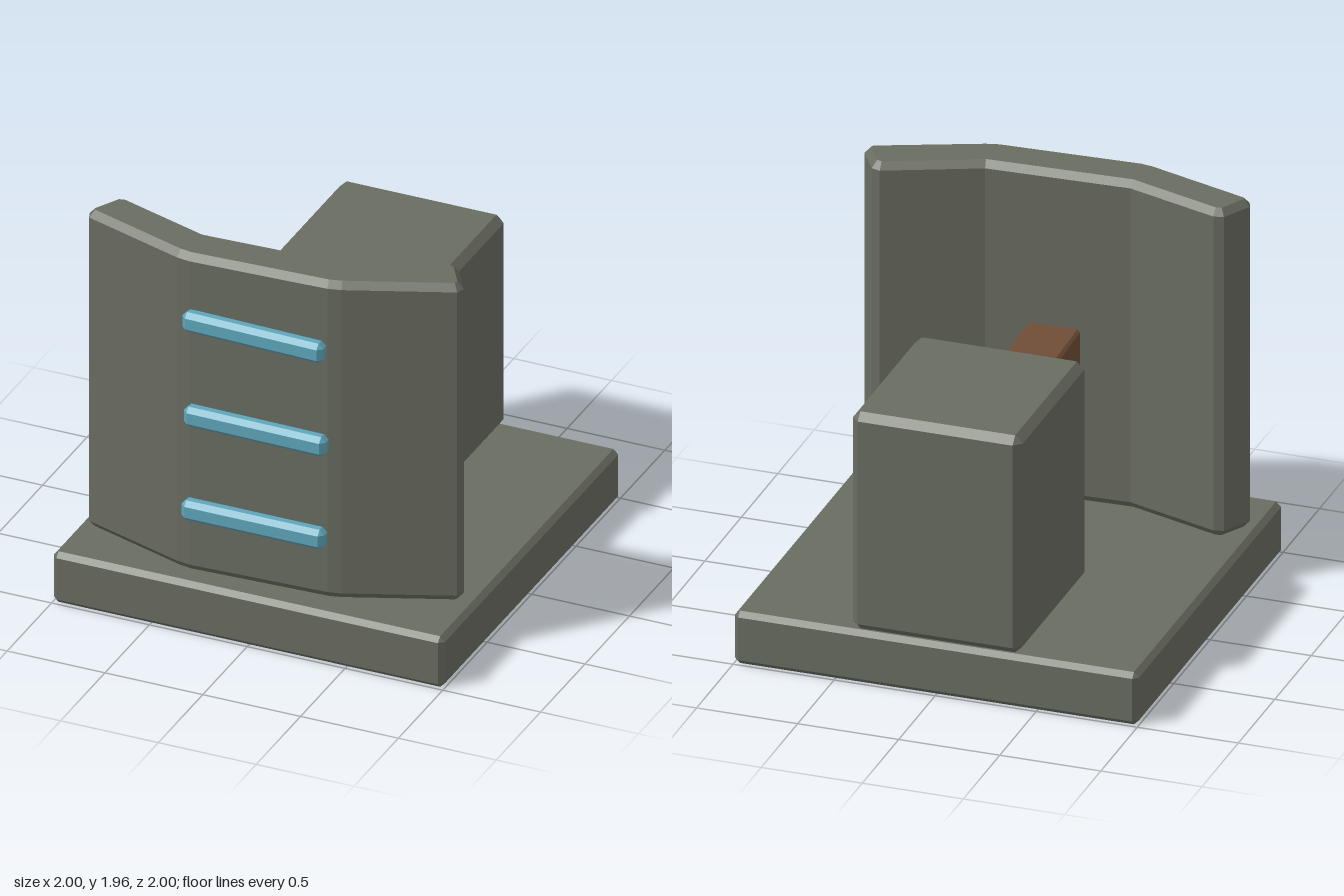
import * as THREE from 'three';
import { ConvexGeometry } from 'three/addons/geometries/ConvexGeometry.js';

const mat = (name, color) => {
  const m = new THREE.MeshStandardMaterial({ color });
  m.name = name;
  return m;
};

// Box with all edges cut at 45 degrees, centred on its origin
function chamferBox(w, h, d, c) {
  const half = [w / 2, h / 2, d / 2];
  const points = [];
  for (const sx of [-1, 1]) for (const sy of [-1, 1]) for (const sz of [-1, 1])
    for (let axis = 0; axis < 3; axis++) {
      const p = half.map((v, i) => (i === axis ? v : v - c));
      points.push(new THREE.Vector3(p[0] * sx, p[1] * sy, p[2] * sz));
    }
  return new ConvexGeometry(points);
}

export function createModel() {
  const model = new THREE.Group();
  const stone = mat('greyStone', 0x696c61);
  const wood = mat('brownWood', 0x704d36);
  const blue = mat('blueInlay', 0x5ea6ba);

  const add = (name, geometry, material, x, y, z, turn = 0) => {
    const mesh = new THREE.Mesh(geometry, material);
    mesh.name = name;
    mesh.position.set(x, y, z);
    mesh.rotation.y = turn;
    model.add(mesh);
  };

  // Square base and rear block
  add('base', chamferBox(2, 0.27, 2, 0.025), stone, 0, 0.135, 0);
  add('rearBlock', chamferBox(0.84, 1.12, 0.92, 0.037), stone, 0, 0.83, -0.54);

  // Beam joining the block to the panel
  add('beam', chamferBox(0.26, 0.385, 0.96, 0.014), wood, -0.002, 0.967, 0.29, 0.034);

  // Bent front panel: plan outline as (x, z), extruded upwards
  const outline = [
    [-0.955, 0.67], [-0.94, 0.71], [-0.41, 0.886], [-0.345, 0.896],
    [0.35, 0.868], [0.415, 0.852], [0.915, 0.65], [0.93, 0.608],
    [0.842, 0.466], [0.798, 0.452], [0.345, 0.643], [-0.364, 0.669],
    [-0.83, 0.515], [-0.878, 0.526],
  ];
  const shape = new THREE.Shape(outline.map(([x, z]) => new THREE.Vector2(x, -z)));
  const bevel = 0.035;
  const panel = new THREE.ExtrudeGeometry(shape, {
    depth: 1.69 - 2 * bevel, bevelEnabled: true, bevelSegments: 1,
    bevelThickness: bevel, bevelSize: 0.028, bevelOffset: -0.028,
  });
  panel.rotateX(-Math.PI / 2);
  add('frontPanel', panel, stone, 0, 0.27 + bevel, 0);

  // Three bars on the panel, each set at a slightly different angle
  const bars = [[0, 0.617, 0], [0.01, 1.117, -0.015], [0, 1.617, -0.032]];
  for (const [x, y, turn] of bars)
    add('frontBar', chamferBox(0.73, 0.105, 0.08, 0.024), blue, x, y, 0.919, turn);

  return model;
}
